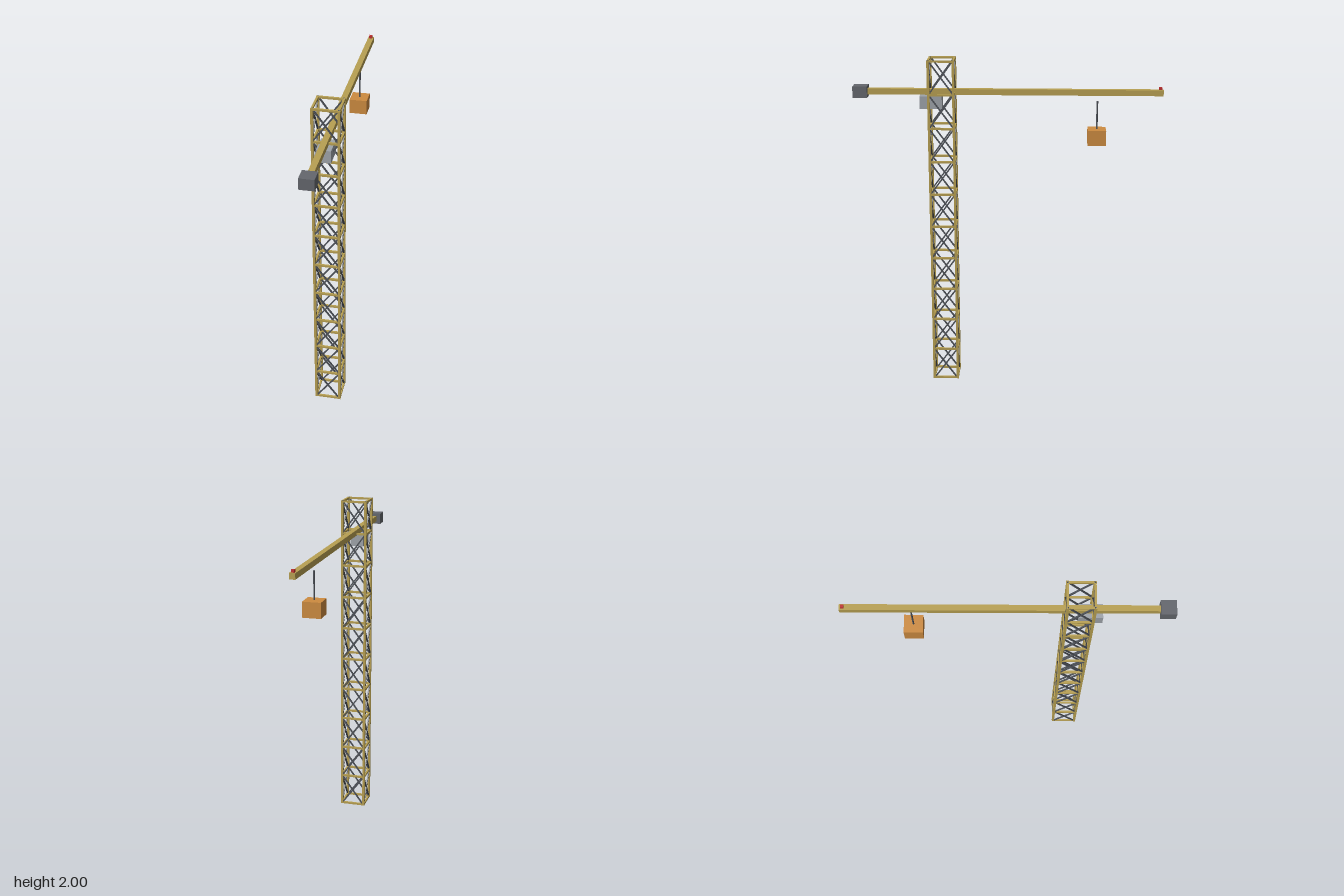
import * as THREE from 'three';

const mat = (name, color) => {
  const m = new THREE.MeshStandardMaterial({ color });
  m.name = name;
  return m;
};

export function createModel() {
  const yellow = mat('mustard steel', 0xb8a052);
  const steel = mat('dark brace steel', 0x50545b);
  const weightGrey = mat('counterweight grey', 0x64676d);
  const cabGrey = mat('cab grey', 0x9fa4aa);
  const cargo = mat('cargo orange', 0xcd8b40);
  const red = mat('beacon red', 0xc03030);

  const crane = new THREE.Group();
  crane.name = 'towerCrane';

  const box = (parent, name, material, size, pos) => {
    const mesh = new THREE.Mesh(new THREE.BoxGeometry(...size), material);
    mesh.name = name;
    mesh.position.set(...pos);
    parent.add(mesh);
    return mesh;
  };

  // Lattice tower, built around its own axis
  const tower = new THREE.Group();
  tower.name = 'tower';
  tower.position.z = 0.385;
  crane.add(tower);
  const H = 2, bays = 10, bay = H / bays, r = 0.0725, post = 0.014, bar = 0.012;

  // Four sides: a corner post, the ring bars and crossed braces
  const braceLength = Math.hypot(2 * r, bay);
  const braceAngle = Math.atan2(2 * r, bay);
  for (let s = 0; s < 4; s++) {
    const side = new THREE.Group();
    side.name = 'towerSide';
    side.rotation.y = s * Math.PI / 2;
    tower.add(side);
    box(side, 'cornerPost', yellow, [post, H, post], [r, H / 2, r]);
    for (let i = 0; i <= bays; i++) {
      const y = THREE.MathUtils.clamp(i * bay, bar / 2, H - bar / 2);
      box(side, 'ringBar', yellow, [2 * r, bar, bar], [0, y, r]);
    }
    for (let i = 0; i < bays; i++) {
      for (const d of [-1, 1]) {
        const brace = box(side, 'crossBrace', steel, [0.008, braceLength, 0.008], [0, (i + 0.5) * bay, r]);
        brace.rotation.z = d * braceAngle;
      }
    }
  }

  // Jib with counterweight at the front end and beacon at the far tip
  box(crane, 'jib', yellow, [0.034, 0.034, 1.74], [0, 1.807, -0.03]);
  box(crane, 'counterweight', weightGrey, [0.084, 0.066, 0.084], [0, 1.807, 0.86]);
  box(crane, 'beacon', red, [0.018, 0.016, 0.018], [0, 1.832, -0.882]);

  // Operator cab under the jib
  box(crane, 'cab', cabGrey, [0.082, 0.074, 0.13], [0, 1.748, 0.448]);

  // Hoist cable and crate
  const cable = new THREE.Mesh(new THREE.CylinderGeometry(0.005, 0.005, 0.255, 8), steel);
  cable.name = 'hoistCable';
  cable.position.set(0, 1.6275, -0.52);
  crane.add(cable);
  box(crane, 'crate', cargo, [0.106, 0.09, 0.106], [0, 1.546, -0.52]);

  return crane;
}
